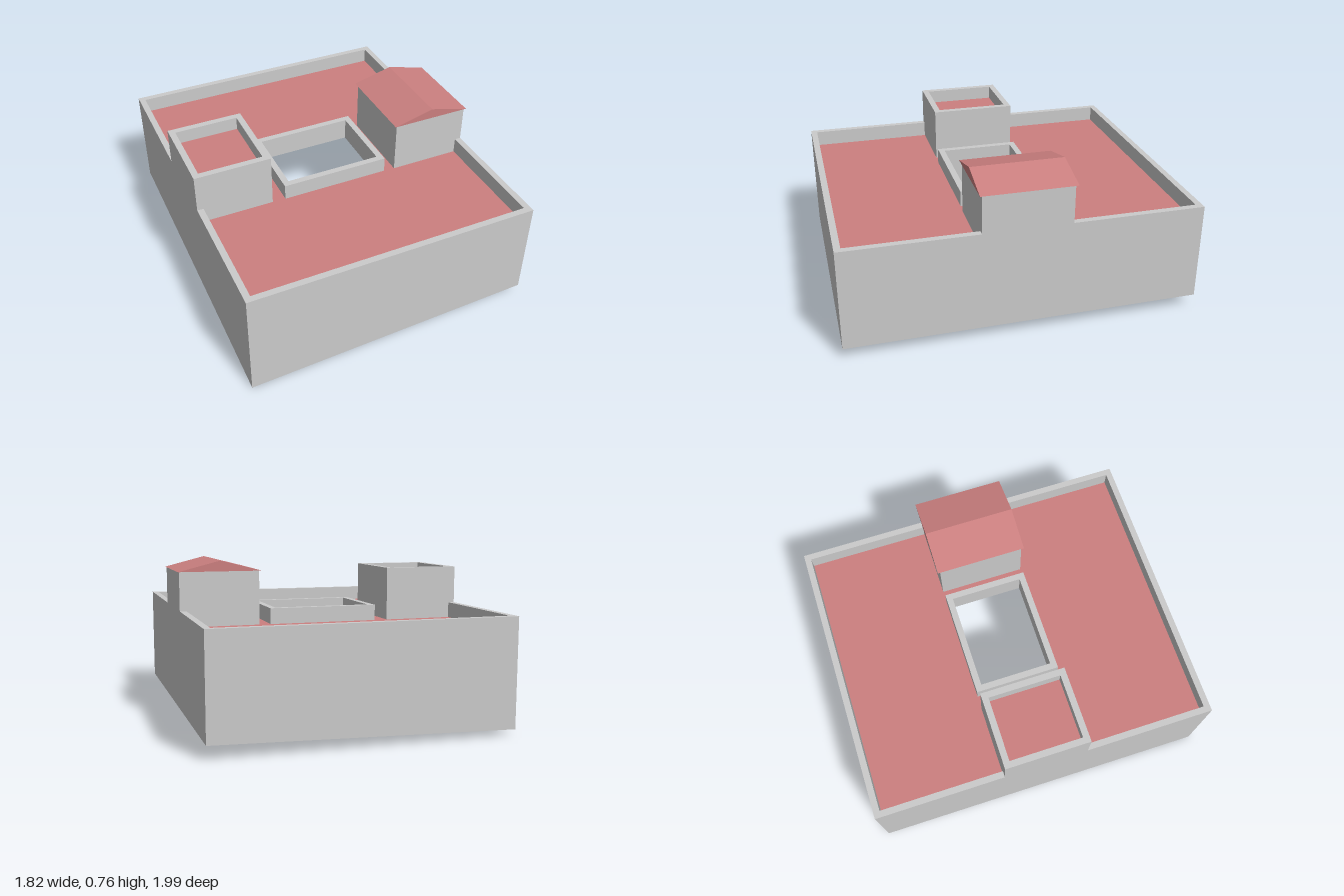
import * as THREE from 'three';

const grey = new THREE.MeshStandardMaterial({ color: 0xcccccc, flatShading: true, side: THREE.DoubleSide });
const red = new THREE.MeshStandardMaterial({ color: 0xcc8080, flatShading: true, side: THREE.DoubleSide });

const T = 0.03; // wall thickness
// Plan rectangles [u0, u1, v0, v1]
const MAIN = [-0.6925, 0.6925, -0.826, 0.826];
const COURT = [-0.264, 0.264, -0.206, 0.203];
const TOWER = [-0.6925, -0.327, -0.206, 0.2];
const HOUSE = [0.318, 0.6925, -0.206, 0.206];
const ATTIC = [0.307, 0.699, -0.219, 0.216];
const Y = { ledge: 0.1, ceiling: 0.42, roof: 0.455, wall: 0.53, upper: 0.71, ridge: 0.76 };

const inset = ([a, b, c, d], t = T) => [a + t, b - t, c + t, d - t];

function corners([u0, u1, v0, v1]) {
  return [[u0, -v1], [u1, -v1], [u1, -v0], [u0, -v0]].map(([x, y]) => new THREE.Vector2(x, y));
}

function plan(rect, hole) {
  const shape = new THREE.Shape(corners(rect));
  if (hole) shape.holes.push(new THREE.Path(corners(hole)));
  return shape;
}

// Upright prism of a plan rectangle, optionally with a hole
function prism(name, rect, hole, y0, y1, material = grey) {
  const geo = new THREE.ExtrudeGeometry(plan(rect, hole), { depth: y1 - y0, bevelEnabled: false });
  geo.rotateX(-Math.PI / 2).translate(0, y0, 0);
  const mesh = new THREE.Mesh(geo, material);
  mesh.name = name;
  return mesh;
}

// Flat roof covering
function deck(name, rect, hole, y) {
  const geo = new THREE.ShapeGeometry(plan(rect, hole));
  geo.rotateX(-Math.PI / 2).translate(0, y, 0);
  const mesh = new THREE.Mesh(geo, red);
  mesh.name = name;
  return mesh;
}

// Foot of the outer walls, following sloping ground
function skirt() {
  const ground = [0, 0.053, 0.065, 0.024];
  const c = corners(MAIN);
  const pos = [], index = [];
  for (let i = 0; i < 4; i++) {
    const j = (i + 1) % 4, n = i * 4;
    pos.push(c[i].x, ground[i], -c[i].y, c[j].x, ground[j], -c[j].y);
    pos.push(c[j].x, Y.ledge, -c[j].y, c[i].x, Y.ledge, -c[i].y);
    index.push(n, n + 1, n + 2, n, n + 2, n + 3);
  }
  const geo = new THREE.BufferGeometry();
  geo.setAttribute('position', new THREE.Float32BufferAttribute(pos, 3));
  geo.setIndex(index);
  geo.computeVertexNormals();
  const mesh = new THREE.Mesh(geo, grey);
  mesh.name = 'wallFoot';
  return mesh;
}

// Low gabled roof with its ridge along the depth
function gable() {
  const [u0, u1, v0, v1] = ATTIC;
  const profile = new THREE.Shape([
    new THREE.Vector2(u0, Y.upper),
    new THREE.Vector2(u1, Y.upper),
    new THREE.Vector2((u0 + u1) / 2, Y.ridge),
  ]);
  const geo = new THREE.ExtrudeGeometry(profile, { depth: v1 - v0, bevelEnabled: false });
  geo.translate(0, 0, v0);
  const mesh = new THREE.Mesh(geo, red);
  mesh.name = 'gableRoof';
  return mesh;
}

export function createModel() {
  const building = new THREE.Group();
  building.name = 'building';
  building.rotation.y = -0.308;
  building.add(
    // Outer walls
    skirt(),
    prism('outerWall', MAIN, inset(MAIN), Y.ledge, Y.wall),
    // Main roof with courtyard opening
    prism('roofSlab', inset(MAIN), COURT, Y.ceiling, Y.roof - 0.003),
    deck('mainRoof', inset(MAIN), COURT, Y.roof),
    prism('courtyardParapet', COURT, inset(COURT), Y.ceiling, Y.wall),
    // Flat-roofed tower
    prism('towerWall', TOWER, inset(TOWER), Y.roof, Y.upper),
    deck('towerRoof', inset(TOWER), null, 0.645),
    // Gabled roof house
    prism('houseWall', HOUSE, null, Y.roof, Y.upper - 0.001),
    gable(),
  );
  const model = new THREE.Group();
  model.name = 'model';
  model.add(building);
  return model;
}
